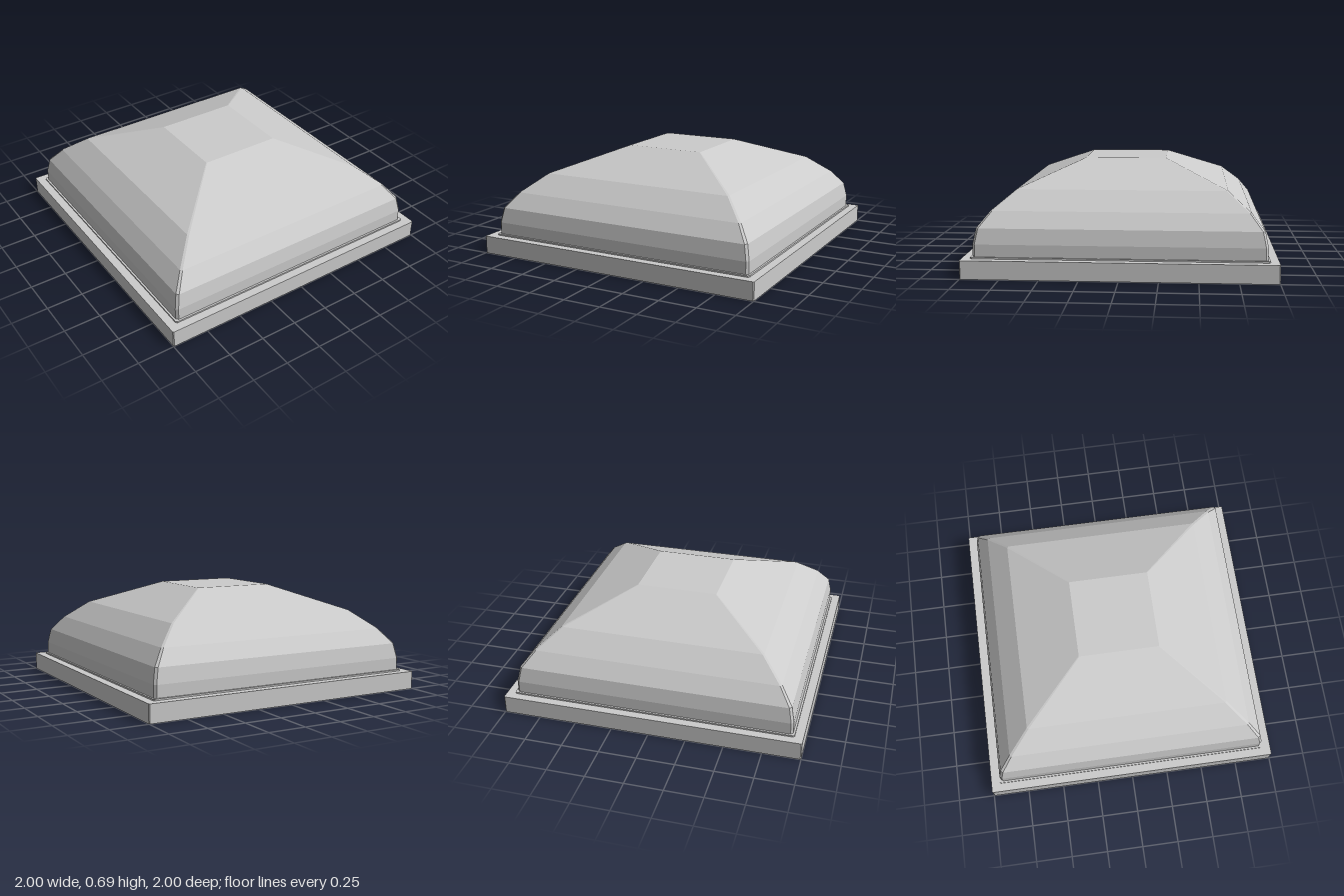
import * as THREE from 'three';

const grey = () => new THREE.MeshStandardMaterial({ color: 0xcccccc, flatShading: true, side: THREE.DoubleSide });

// Square outline of half-size s with its corners cut by c, counterclockwise from above
function squareRing(s, y, c) {
  const a = s - c;
  return [[s, -a], [s, a], [a, s], [-a, s], [-s, a], [-s, -a], [-a, -s], [a, -s]]
    .map(([u, v]) => new THREE.Vector3(u, y, -v));
}

// Flat-faced skin over a stack of rings, closed at the top
function loftRings(rings) {
  const points = [];
  const n = rings[0].length;
  for (let r = 0; r < rings.length - 1; r++) {
    for (let i = 0; i < n; i++) {
      const j = (i + 1) % n;
      const a = rings[r][i], b = rings[r][j], c = rings[r + 1][j], d = rings[r + 1][i];
      points.push(a, b, c, a, c, d);
    }
  }
  const top = rings[rings.length - 1];
  for (let i = 1; i < n - 1; i++) points.push(top[0], top[i], top[i + 1]);
  const geometry = new THREE.BufferGeometry().setFromPoints(points);
  geometry.computeVertexNormals();
  return geometry;
}

// Square frame with a square opening, lying flat from y0 to y1
function squareFrame(name, outer, inner, y0, y1, cut) {
  const flat = (s, c) => squareRing(s, 0, c).map(p => new THREE.Vector2(p.x, -p.z));
  const shape = new THREE.Shape(flat(outer, cut));
  shape.holes.push(new THREE.Path(flat(inner, 0.002)));
  const geometry = new THREE.ExtrudeGeometry(shape, { depth: y1 - y0, bevelEnabled: false });
  geometry.rotateX(-Math.PI / 2);
  geometry.translate(0, y0, 0);
  const mesh = new THREE.Mesh(geometry, grey());
  mesh.name = name;
  return mesh;
}

export function createModel() {
  const model = new THREE.Group();
  model.name = 'skylight';

  // Base curb with the opening, and the thin lip the dome sits on
  model.add(squareFrame('baseFrame', 1, 0.68, 0, 0.12, 0.006));
  model.add(squareFrame('domeLip', 0.943, 0.91, 0.12, 0.13, 0.01));

  // Hollow faceted dome: half-size, height, corner cut
  const profile = [
    [0.93, 0.12, 0.015], [0.93, 0.21, 0.015], [0.91, 0.31, 0.015], [0.83, 0.41, 0.012],
    [0.685, 0.53, 0.01], [0.275, 0.695, 0.004],
  ];
  const dome = new THREE.Mesh(loftRings(profile.map(p => squareRing(...p))), grey());
  dome.name = 'dome';
  model.add(dome);

  return model;
}
